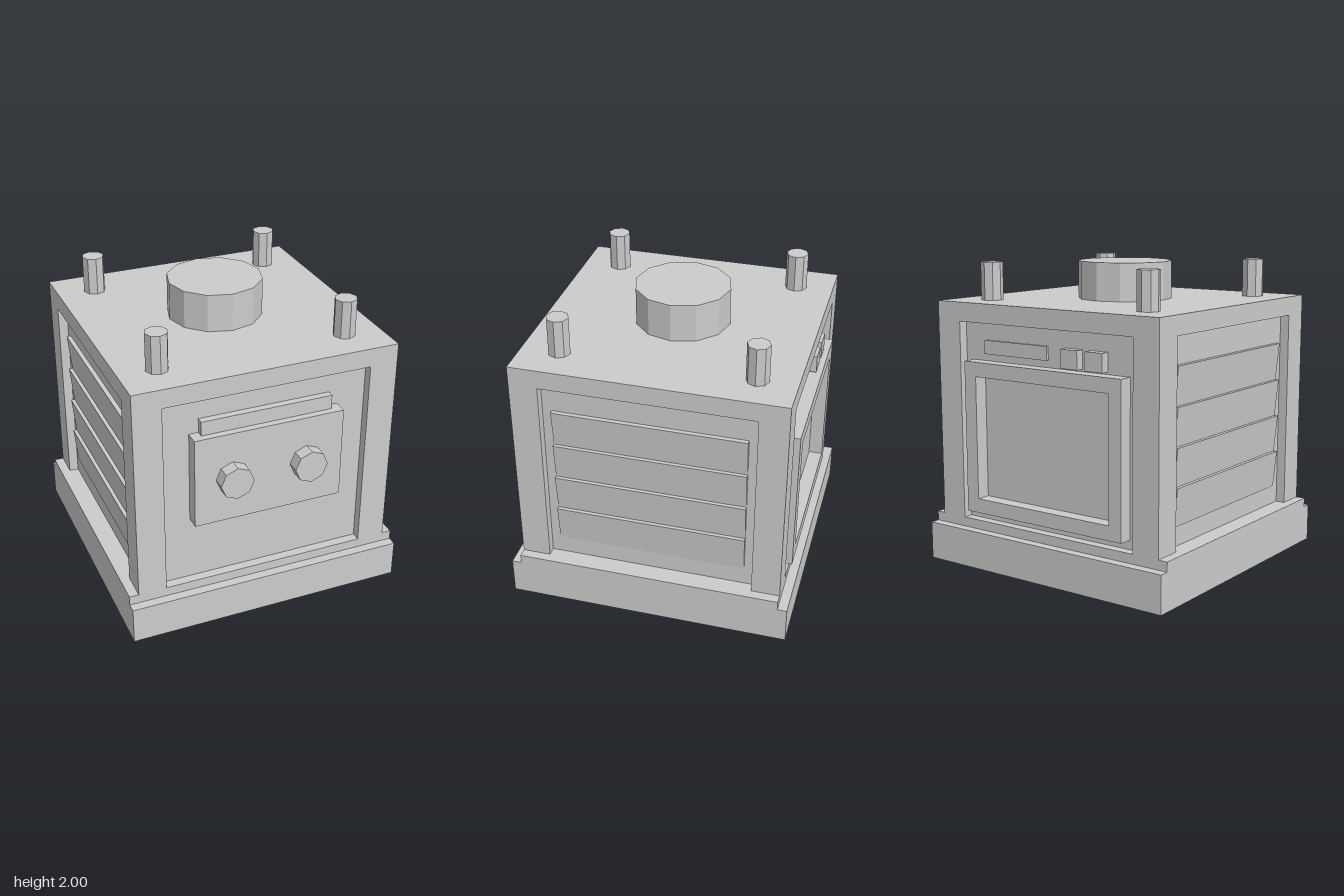
import * as THREE from 'three';

const grey = new THREE.MeshStandardMaterial({ color: 0xcccccc, flatShading: true });
grey.name = 'plain grey';

export function createModel() {
  const model = new THREE.Group();
  model.name = 'stove';
  // everything is symmetric about the body axis, which sits slightly behind z = 0
  const body = new THREE.Group();
  body.name = 'stoveBody';
  body.position.z = -0.025;
  model.add(body);

  const add = (name, geometry, x = 0, y = 0, z = 0) => {
    const mesh = new THREE.Mesh(geometry, grey);
    mesh.name = name;
    mesh.position.set(x, y, z);
    body.add(mesh);
    return mesh;
  };
  // box given by its minimum and maximum corners
  const box = (name, x0, x1, y0, y1, z0, z1) =>
    add(name, new THREE.BoxGeometry(x1 - x0, y1 - y0, z1 - z0),
      (x0 + x1) / 2, (y0 + y1) / 2, (z0 + z1) / 2);

  const W = 0.875, R = 0.6875, C = 0.8125; // half body, half recess, half core

  // plinth, with a higher ledge along both sides
  box('plinth', -0.9375, 0.9375, 0, 0.25, -0.9375, 0.9375);
  box('sideLedges', -0.9375, 0.9375, 0.25, 0.3125, -W, -R);
  box('sideLedges', -0.9375, 0.9375, 0.25, 0.3125, R, W);
  for (const s of [-1, 1]) {
    box('sideLedge', Math.min(s * 0.8, s * 0.9375), Math.max(s * 0.8, s * 0.9375), 0.25, 0.3125, -R, R);
  }

  // walls: square plan with a shallow recess on each of the four sides
  const plan = new THREE.Shape();
  const corner = [[R, C], [R, W], [W, W], [W, R], [C, R]];
  const points = [];
  for (let i = 0; i < 4; i++) {
    const a = -i * Math.PI / 2, c = Math.round(Math.cos(a)), s = Math.round(Math.sin(a));
    for (const [x, y] of corner) points.push(new THREE.Vector2(x * c - y * s, x * s + y * c));
  }
  plan.setFromPoints(points);
  const walls = new THREE.ExtrudeGeometry(plan, { depth: 1.375, bevelEnabled: false });
  walls.rotateX(-Math.PI / 2);
  add('walls', walls, 0, 0.25, 0);
  box('topSlab', -W, W, 1.625, 1.75, -W, W);

  // chimney and four corner pegs
  add('chimney', new THREE.CylinderGeometry(0.3125, 0.3125, 0.25, 12), 0, 1.875, 0);
  for (const x of [-0.625, 0.625]) {
    for (const z of [-0.625, 0.625]) {
      add('peg', new THREE.CylinderGeometry(0.073, 0.073, 0.25, 8), x, 1.875, z);
    }
  }

  // front control panel, the strip above it and two knobs
  box('controlPanel', -0.5, 0.5, 0.757, 1.375, C - 0.01, 0.906);
  box('panelStrip', -0.4375, 0.4375, 1.375, 1.47, C - 0.01, 0.86);
  for (const x of [-0.25, 0.25]) {
    const knob = add('knob', new THREE.CylinderGeometry(0.11, 0.11, 0.09, 8), x, 1.065, 0.945);
    knob.rotation.x = Math.PI / 2;
  }

  // back door: frame around a sunken window
  const frame = new THREE.Shape();
  const rect = (p, x, y0, y1) =>
    p.moveTo(-x, y0).lineTo(x, y0).lineTo(x, y1).lineTo(-x, y1).closePath();
  rect(frame, 0.625, 0.375, 1.375);
  const hole = new THREE.Path();
  rect(hole, 0.53, 0.47, 1.28);
  frame.holes.push(hole);
  add('doorFrame', new THREE.ExtrudeGeometry(frame, { depth: 0.1, bevelEnabled: false }), 0, 0, -0.906);

  // plate and two buttons above the door
  box('backPlate', 0, 0.52, 1.42, 1.51, -C - 0.015, -C + 0.01);
  box('button', -0.27, -0.14, 1.39, 1.51, -0.87, -C + 0.01);
  box('button', -0.46, -0.33, 1.39, 1.51, -0.87, -C + 0.01);

  // side louvres: four slats, each leaning out towards its top edge
  const slat = new THREE.Shape();
  slat.moveTo(-0.01, 0).lineTo(0.005, 0).lineTo(0.03, 0.25).lineTo(-0.01, 0.25).closePath();
  const slatGeometry = new THREE.ExtrudeGeometry(slat, { depth: 1.25, bevelEnabled: false });
  slatGeometry.translate(0, 0, -0.625);
  for (const s of [-1, 1]) {
    for (let i = 0; i < 4; i++) {
      const mesh = add('louvre', slatGeometry, s * C, 0.4375 + i * 0.25, 0);
      if (s < 0) mesh.rotation.y = Math.PI;
    }
  }
  return model;
}
